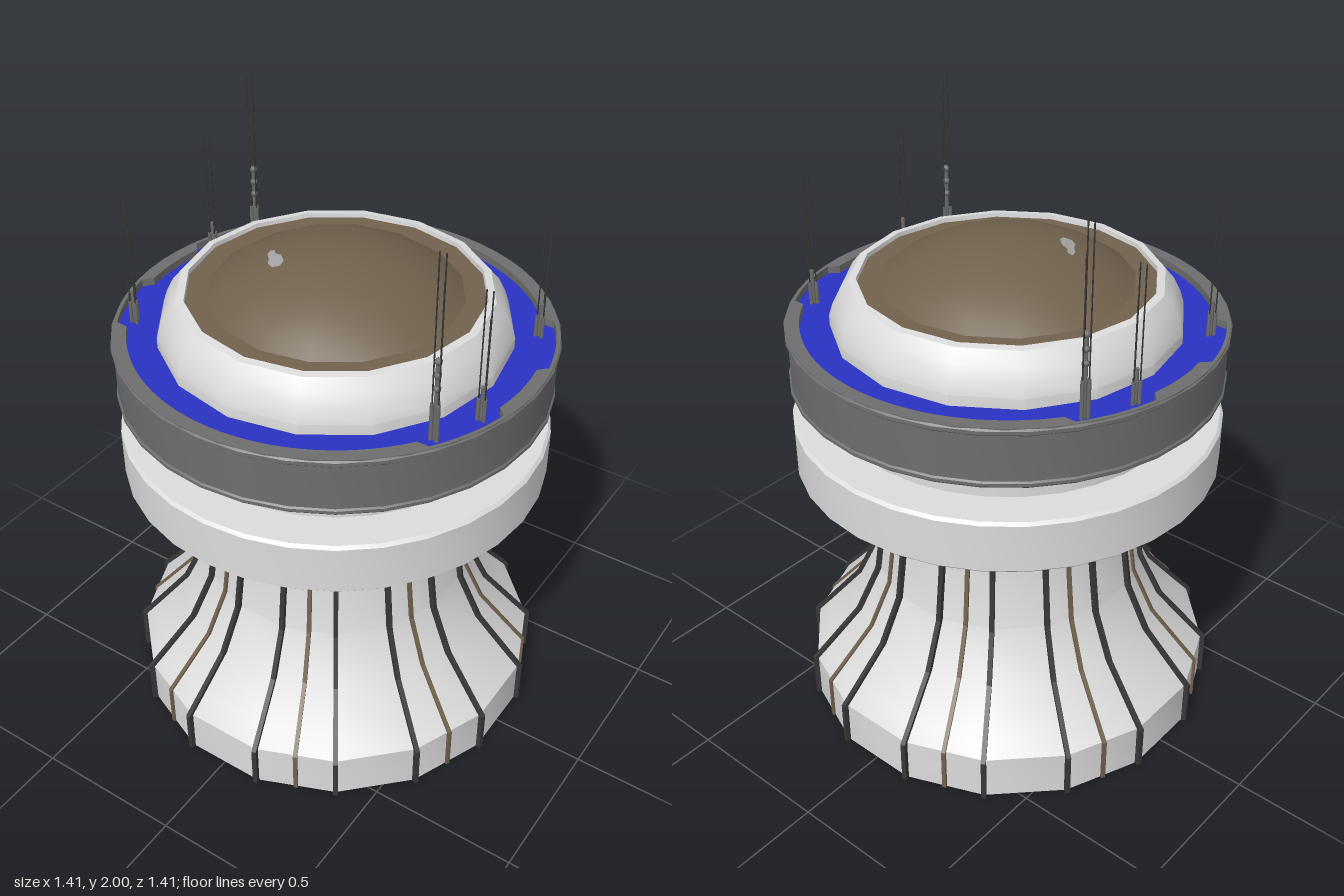
import * as THREE from 'three';
import { toCreasedNormals } from 'three/addons/utils/BufferGeometryUtils.js';

const mat = (name, color, side = THREE.FrontSide) => {
  const m = new THREE.MeshStandardMaterial({ color, side });
  m.name = name;
  return m;
};

export function createModel() {
  const white = mat('white', 0xdcdcdc, THREE.DoubleSide);
  const grey = mat('ring grey', 0x6e6e6e);
  const dark = mat('dark rib', 0x383838);
  const brown = mat('brown', 0x71624d);
  const blue = mat('blue', 0x2a32c4);
  const pale = mat('pale grey', 0xa4a4a4, THREE.DoubleSide);

  const model = new THREE.Group();
  const add = (name, geo, material, parent = model) => {
    const mesh = new THREE.Mesh(geo, material);
    mesh.name = name;
    parent.add(mesh);
    return mesh;
  };
  // Turned part from [radius, height] pairs, listed bottom to top on the outside
  const turn = (pts, sides, start = 0, crease = 0.45) => toCreasedNormals(
    new THREE.LatheGeometry(pts.map(p => new THREE.Vector2(...p)), sides, start), crease);
  const STEP = Math.PI / 8;

  // Flared open pedestal
  const flare = [[0.695, 0], [0.695, 0.155], [0.645, 0.21], [0.53, 0.34], [0.455, 0.5],
    [0.43, 0.68], [0.42, 0.8], [0.42, 0.93]];
  add('pedestal', turn(flare, 16, STEP / 2), white);

  // Ribs that follow the flare and show through on the inside
  const ribGeometry = (scale, out, width) => {
    const outer = flare.map(([r, y]) => new THREE.Vector2(r * scale + out, y));
    const inner = flare.map(([r, y]) => new THREE.Vector2(r * scale - 0.012, y)).reverse();
    const g = new THREE.ExtrudeGeometry(new THREE.Shape([...outer, ...inner]),
      { depth: width, bevelEnabled: false });
    return g.translate(0, 0, -width / 2);
  };
  const darkRib = ribGeometry(1, 0.015, 0.016);
  const brownRib = ribGeometry(Math.cos(STEP / 2), 0.009, 0.014);
  for (let i = 0; i < 16; i++) {
    add('darkRib', darkRib, dark).rotation.y = (i + 0.5) * STEP;
    if (i % 2) add('brownRib', brownRib, brown).rotation.y = i * STEP;
  }

  // Lower collar and recessed neck
  add('lowerCollar', turn([[0, 0.92], [0.69, 0.92], [0.7, 0.93], [0.7, 1.09], [0.69, 1.1],
    [0.56, 1.1]], 32), white);
  add('neck', turn([[0.565, 1.1], [0.565, 1.225]], 32), white);

  // Upper ring with small lips
  add('upperRing', turn([[0.56, 1.22], [0.692, 1.22], [0.7, 1.228], [0.7, 1.238], [0.695, 1.243],
    [0.695, 1.392], [0.703, 1.4], [0.703, 1.412], [0.695, 1.42]], 32), grey);

  // Flat rim, cut back in four places for the aerials
  const rim = new THREE.Shape().absarc(0, 0, 0.697, 0, Math.PI * 2);
  const hole = [];
  for (let i = 0; i < 180; i++) {
    const a = i * Math.PI / 90;
    const fromX = Math.atan2(Math.abs(Math.sin(a)), Math.abs(Math.cos(a))) * 180 / Math.PI;
    const r = fromX > 11 && fromX < 35 ? 0.685 : 0.653;
    hole.push(new THREE.Vector2(r * Math.cos(a), r * Math.sin(a)));
  }
  rim.holes.push(new THREE.Path(hole));
  const rimGeo = new THREE.ExtrudeGeometry(rim, { depth: 0.03, bevelEnabled: false, curveSegments: 32 });
  add('rim', rimGeo.rotateX(-Math.PI / 2).translate(0, 1.39, 0), grey);
  add('deck', new THREE.RingGeometry(0.5, 0.692, 32).rotateX(-Math.PI / 2).translate(0, 1.395, 0), blue);

  // Dome housing, brown ledge and dome
  add('domeHousing', turn([[0.56, 1.39], [0.56, 1.43], [0.547, 1.47], [0.524, 1.515], [0.495, 1.55],
    [0.47, 1.553], [0.468, 1.53]], 16), white);
  add('domeLedge', new THREE.RingGeometry(0.38, 0.472, 16).rotateX(-Math.PI / 2)
    .translate(0, 1.538, 0), brown);
  const R = 0.66;
  const domeY = r => 1.675 - R + Math.sqrt(R * R - r * r);
  const cap = [];
  for (let i = 8; i >= 0; i--) cap.push([0.41 * i / 8, domeY(0.41 * i / 8)]);
  add('dome', turn(cap, 16), brown);

  // Small pale patch lying on the dome
  const patch = new THREE.Shape([[-0.195, -0.07], [-0.18, -0.068], [-0.165, -0.085], [-0.14, -0.09],
    [-0.112, -0.115], [-0.108, -0.14], [-0.13, -0.152], [-0.155, -0.138], [-0.168, -0.115],
    [-0.19, -0.092]].map(p => new THREE.Vector2(...p)));
  const patchGeo = new THREE.ShapeGeometry(patch).rotateX(-Math.PI / 2);
  const pos = patchGeo.attributes.position;
  for (let i = 0; i < pos.count; i++) pos.setY(i, domeY(Math.hypot(pos.getX(i), pos.getZ(i))) + 0.005);
  patchGeo.computeVertexNormals();
  add('domePatch', patchGeo, pale);

  // Aerials: clusters of three thin rods on thicker stems
  const rod = (r, y0, y1, x, z, name, material, parent) =>
    add(name, new THREE.CylinderGeometry(r, r, y1 - y0, 6).translate(x, (y0 + y1) / 2, z), material, parent);
  const aerial = (x, z, top) => {
    const g = new THREE.Group();
    g.name = 'aerial';
    g.position.set(x, 0, z);
    const tall = top > 1.9;
    for (let i = 0; i < 3; i++) {
      const a = i * Math.PI * 2 / 3 + 0.5;
      const px = 0.012 * Math.cos(a), pz = 0.012 * Math.sin(a);
      rod(0.0022, 1.39, i === 2 ? top - 0.1 : top, px, pz, 'rod', dark, g);
      rod(0.006, 1.39, tall ? 1.52 : 1.47, px, pz, 'stem', grey, g);
    }
    rod(0.007, 1.39, tall ? 1.66 : 1.51, 0, 0, 'core', grey, g);
    if (tall) for (const y of [1.57, 1.615, 1.66])
      add('bead', new THREE.SphereGeometry(0.012, 8, 6).translate(0, y, 0), grey, g);
    model.add(g);
  };
  for (const s of [1, -1]) {
    aerial(0.548 * s, 0.32 * s, 2);
    aerial(0.548 * s, -0.32 * s, 1.83);
    aerial(0.612 * s, 0.165 * s, 1.83);
  }
  return model;
}
